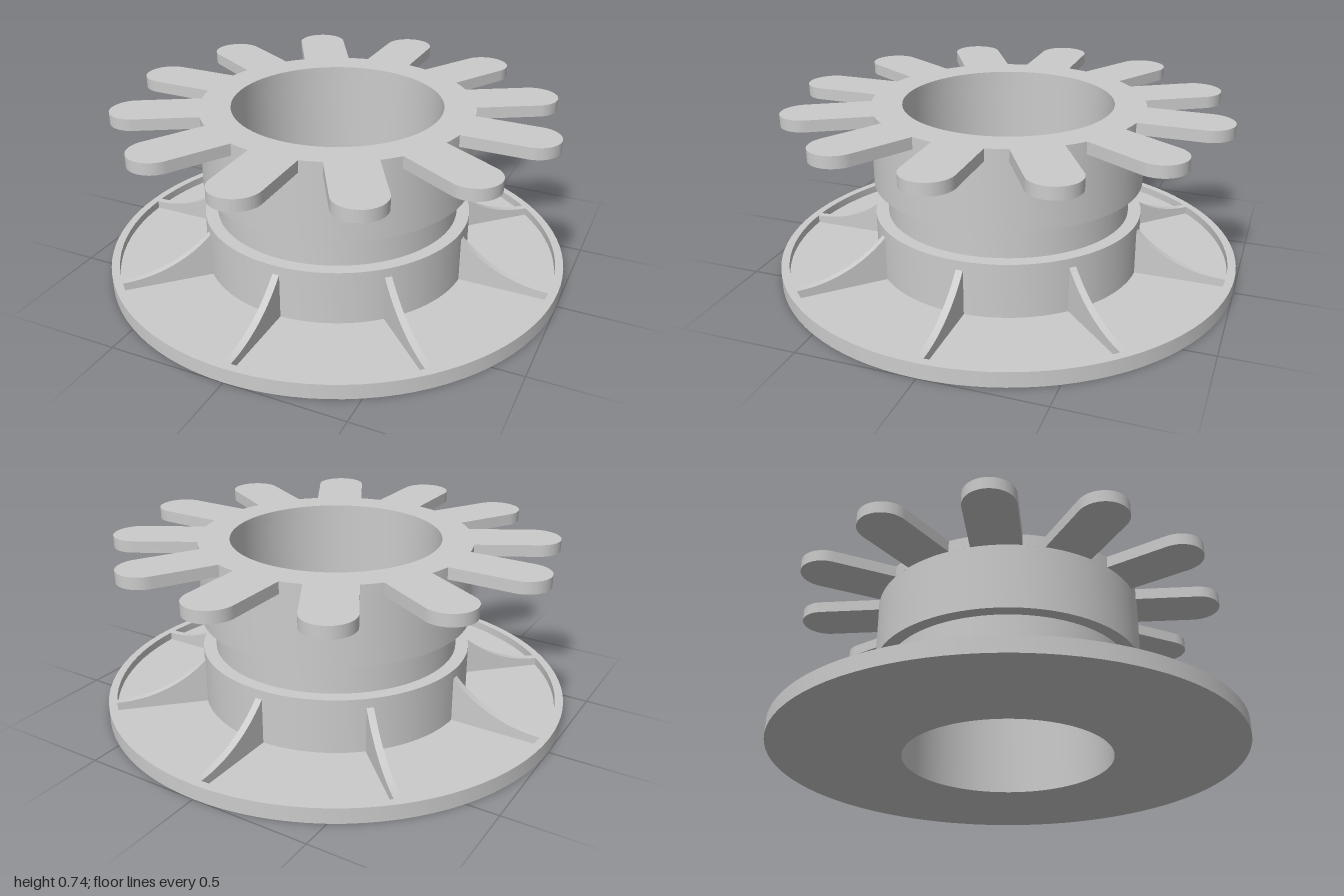
import * as THREE from 'three';
import { toCreasedNormals } from 'three/addons/utils/BufferGeometryUtils.js';

const BORE = 0.447, COLLAR = 0.58, NECK = 0.525;
const FLOOR = 0.03, RIM_TOP = 0.065, PLATE_BOTTOM = 0.69, PLATE_TOP = 0.74;

export function createModel() {
  const model = new THREE.Group();
  const material = new THREE.MeshStandardMaterial({ color: 0xcccccc });

  function add(name, geometry, parent = model) {
    const mesh = new THREE.Mesh(toCreasedNormals(geometry, Math.PI / 6), material);
    mesh.name = name;
    parent.add(mesh);
    return mesh;
  }

  // Hollow hub with a grooved neck, and the rimmed base flange
  const profile = [
    [BORE, PLATE_BOTTOM], [BORE, 0], [1, 0], [1, RIM_TOP], [0.965, RIM_TOP],
    [0.965, FLOOR], [COLLAR, FLOOR], [COLLAR, 0.265], [NECK, 0.265],
    [NECK, 0.405], [COLLAR, 0.405], [COLLAR, PLATE_BOTTOM],
  ].map(([r, y]) => new THREE.Vector2(r, y));
  add('hubAndFlange', new THREE.LatheGeometry(profile, 96));

  // Top plate with round-ended fingers
  const fingers = 12, half = 0.105, tipCentre = 0.84;
  const rootAngle = Math.asin(half / COLLAR);
  const outline = new THREE.Shape();
  for (let i = 0; i < fingers; i++) {
    const a = (i / fingers) * Math.PI * 2;
    const c = Math.cos(a), s = Math.sin(a);
    const root = [COLLAR * Math.cos(a - rootAngle), COLLAR * Math.sin(a - rootAngle)];
    if (i === 0) outline.moveTo(...root);
    else outline.lineTo(...root);
    outline.lineTo(tipCentre * c + half * s, tipCentre * s - half * c);
    outline.absarc(tipCentre * c, tipCentre * s, half, a - Math.PI / 2, a + Math.PI / 2, false);
    outline.lineTo(COLLAR * Math.cos(a + rootAngle), COLLAR * Math.sin(a + rootAngle));
    outline.absarc(0, 0, COLLAR, a + rootAngle, a + Math.PI * 2 / fingers - rootAngle, false);
  }
  outline.closePath();
  const hole = new THREE.Path();
  hole.absarc(0, 0, BORE, 0, Math.PI * 2, true);
  outline.holes.push(hole);
  const plate = new THREE.ExtrudeGeometry(outline, {
    depth: PLATE_TOP - PLATE_BOTTOM, bevelEnabled: false, curveSegments: 48,
  });
  plate.rotateX(-Math.PI / 2).translate(0, PLATE_BOTTOM, 0);
  add('fingerPlate', plate);

  // Concave stiffening ribs between the lower collar and the rim
  const ribTop = 0.225, ribEnd = 0.96, thickness = 0.03;
  const run = ribEnd - COLLAR, rise = ribTop - RIM_TOP;
  const radius = (run * run + rise * rise) / (2 * rise);
  const rib = new THREE.Shape();
  rib.moveTo(COLLAR - 0.01, FLOOR - 0.01);
  rib.lineTo(0.97, FLOOR - 0.01);
  rib.lineTo(0.97, RIM_TOP);
  rib.lineTo(ribEnd, RIM_TOP);
  rib.absarc(ribEnd, RIM_TOP + radius, radius, -Math.PI / 2,
    -Math.PI / 2 - Math.asin(run / radius), true);
  rib.lineTo(COLLAR - 0.01, ribTop);
  rib.closePath();
  const ribGeometry = new THREE.ExtrudeGeometry(rib, {
    depth: thickness, bevelEnabled: false, curveSegments: 20,
  });
  ribGeometry.translate(0, 0, -thickness / 2);
  const ribs = new THREE.Group();
  ribs.name = 'ribs';
  model.add(ribs);
  for (let i = 0; i < 8; i++) {
    add('rib', ribGeometry, ribs).rotation.y = (i / 8) * Math.PI * 2;
  }

  return model;
}
